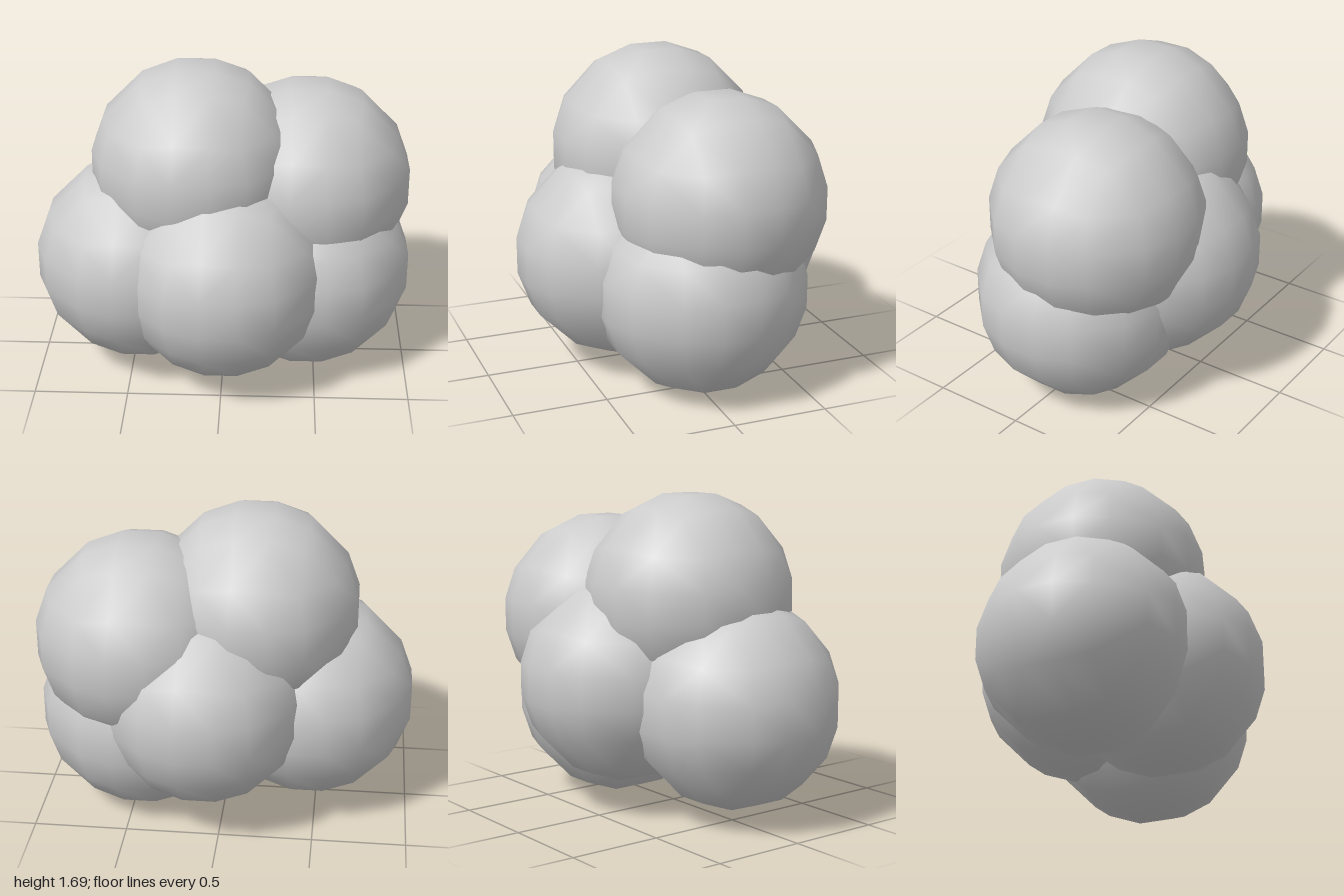
import * as THREE from 'three';
import { ConvexGeometry } from 'three/addons/geometries/ConvexGeometry.js';

const RADIUS = 0.561;

// Low-poly ball: a 4 x 4 grid of points on each side of a cube, pushed out to a sphere
function ballGeometry() {
  const steps = [-0.59, -0.183, 0.183, 0.59];
  const points = [];
  for (let axis = 0; axis < 3; axis++) {
    for (const side of [-1, 1]) {
      for (const u of steps) {
        for (const v of steps) {
          const p = new THREE.Vector3();
          p.setComponent(axis, side);
          p.setComponent((axis + 1) % 3, u);
          p.setComponent((axis + 2) % 3, v);
          points.push(p.setLength(RADIUS));
        }
      }
    }
  }
  const geometry = new ConvexGeometry(points);
  // Smooth normals point straight out from the centre
  const position = geometry.attributes.position;
  const normal = geometry.attributes.normal;
  const n = new THREE.Vector3();
  for (let i = 0; i < position.count; i++) {
    n.fromBufferAttribute(position, i).normalize();
    normal.setXYZ(i, n.x, n.y, n.z);
  }
  return geometry;
}

export function createModel() {
  const group = new THREE.Group();
  group.name = 'ballCluster';
  const geometry = ballGeometry();
  const material = new THREE.MeshStandardMaterial({ color: 0xcccccc });

  // Overlapping balls of equal size
  const balls = {
    topBall: [-0.15, 1.145, -0.012],
    upperLeftBall: [0.445, 1.005, -0.135],
    lowerLeftBall: [0.455, 0.545, -0.035],
    lowerRightBall: [-0.455, 0.62, 0.047],
    frontBall: [0, 0.625, 0.25],
    backBall: [0.1, 0.71, -0.255],
  };
  for (const [name, centre] of Object.entries(balls)) {
    const ball = new THREE.Mesh(geometry, material);
    ball.name = name;
    ball.position.set(...centre);
    group.add(ball);
  }
  return group;
}
